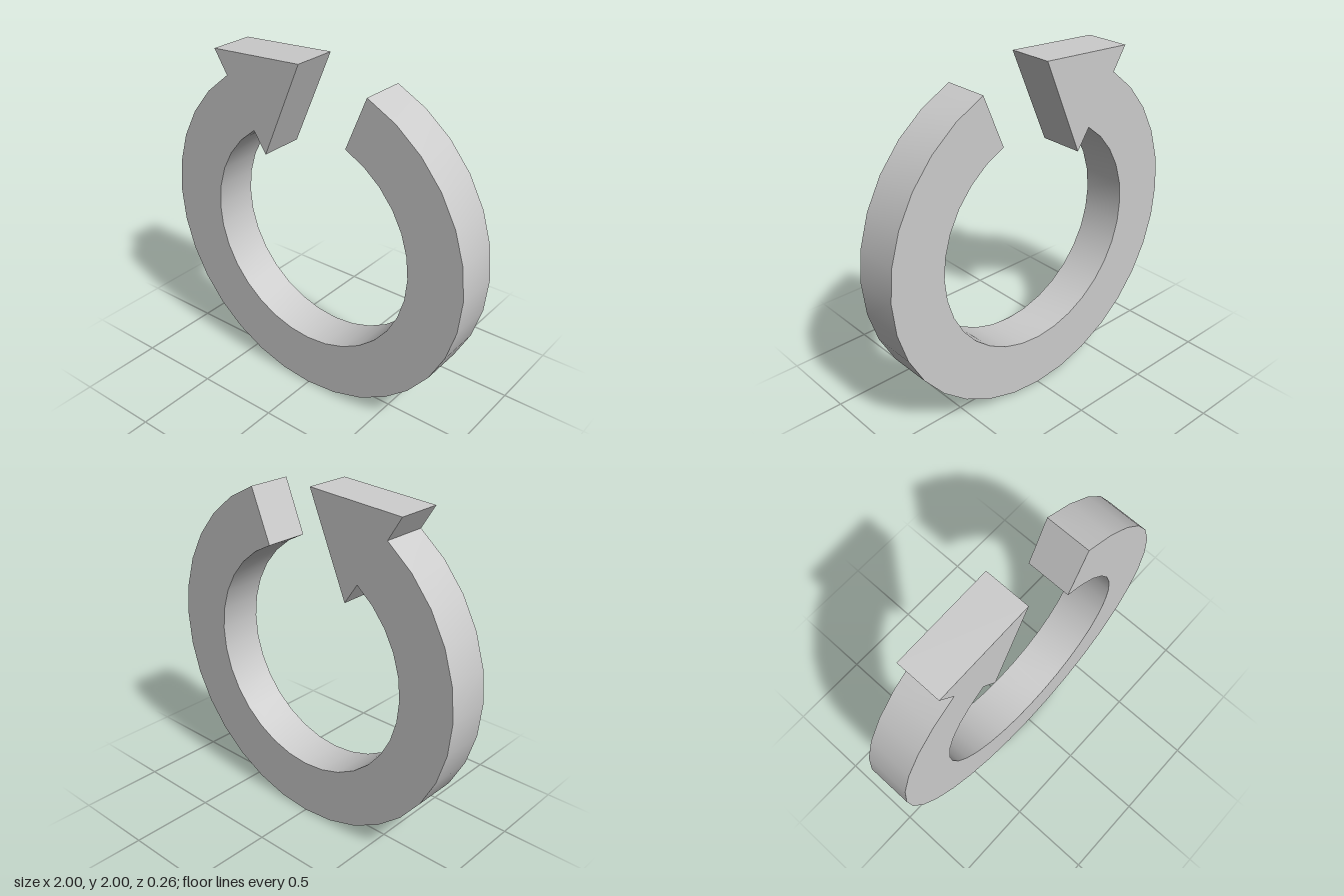
import * as THREE from 'three';
import { toCreasedNormals } from 'three/addons/utils/BufferGeometryUtils.js';

const OUTER = 1, INNER = 0.668, CENTRE_Y = 1, DEPTH = 0.265;
const STEP = Math.PI / 16; // 32-sided ring
const TAIL = 6, NECK = -21; // steps where the band starts and meets the head

const onRing = (radius, i) =>
  new THREE.Vector2(radius * Math.cos(i * STEP), CENTRE_Y + radius * Math.sin(i * STEP));

export function createModel() {
  const outline = [];

  // outer edge, clockwise from the blunt tail to the neck
  for (let i = TAIL; i >= NECK; i--) outline.push(onRing(OUTER, i));

  // arrowhead: outer barb, tip, inner barb
  outline.push(
    new THREE.Vector2(-0.64, 1.966),
    new THREE.Vector2(-0.048, 2),
    new THREE.Vector2(-0.29, 1.435)
  );

  // inner edge back to the tail
  for (let i = NECK; i <= TAIL; i++) outline.push(onRing(INNER, i));

  // flat slab with smooth curved walls and crisp edges
  const slab = new THREE.ExtrudeGeometry(new THREE.Shape(outline), { depth: DEPTH, bevelEnabled: false });
  slab.translate(0, 0, -DEPTH / 2);

  const arrow = new THREE.Mesh(
    toCreasedNormals(slab, Math.PI / 7),
    new THREE.MeshStandardMaterial({ color: 0xcccccc })
  );
  arrow.name = 'circularArrow';

  const model = new THREE.Group();
  model.name = 'refreshArrow';
  model.add(arrow);
  return model;
}
